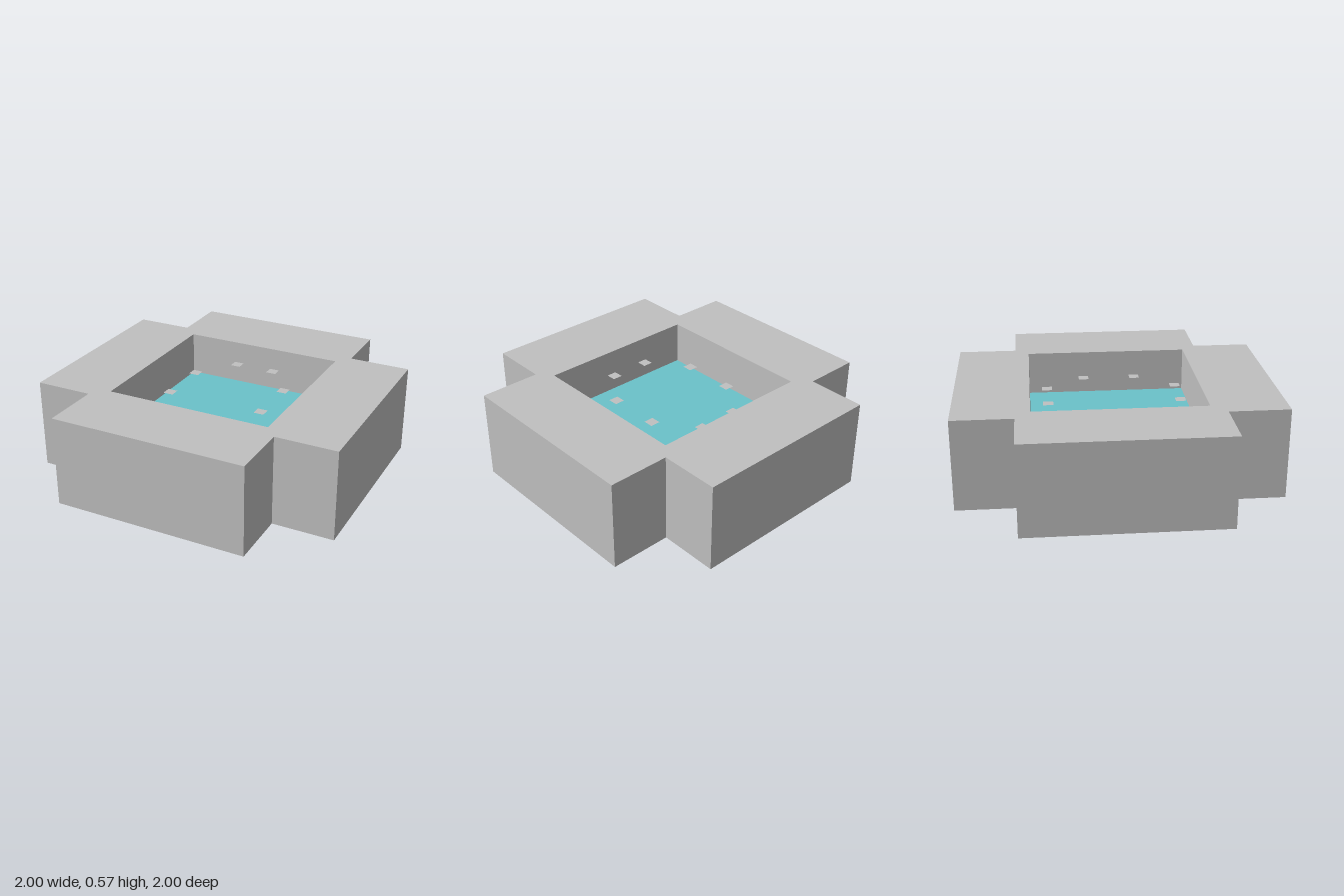
import * as THREE from 'three';

const HEIGHT = 0.575;
const HOLE = 0.532;

export function createModel() {
  const model = new THREE.Group();
  model.name = 'pool';
  const stone = new THREE.MeshStandardMaterial({ color: 0xc0c0c0, side: THREE.DoubleSide });
  stone.name = 'grey stone';
  const teal = new THREE.MeshStandardMaterial({ color: 0x6bc2ca });
  teal.name = 'teal water';

  const add = (name, geometry, material, x = 0, y = 0, z = 0) => {
    const mesh = new THREE.Mesh(geometry, material);
    mesh.name = name;
    mesh.position.set(x, y, z);
    model.add(mesh);
  };

  // Cross-shaped surround with a square opening right through it
  const l = -0.634, r = 0.611, d = 0.623;
  const outline = new THREE.Shape([
    [l, -1], [r, -1], [r, -d], [1, -d], [1, d], [r, d],
    [r, 1], [l, 1], [l, d], [-1, d], [-1, -d], [l, -d],
  ].map(([x, y]) => new THREE.Vector2(x, y)));
  outline.holes.push(new THREE.Path([
    [-HOLE, -HOLE], [-HOLE, HOLE], [HOLE, HOLE], [HOLE, -HOLE],
  ].map(([x, y]) => new THREE.Vector2(x, y))));
  const surround = new THREE.ExtrudeGeometry(outline, { depth: HEIGHT, bevelEnabled: false });
  surround.rotateX(-Math.PI / 2);
  add('surround', surround, stone);

  // Water slab halfway up the opening
  add('water', new THREE.BoxGeometry(HOLE * 2, 0.032, HOLE * 2), teal, 0, 0.274, 0);

  // Ring of eight small flat tiles hovering above the water
  const tile = new THREE.PlaneGeometry(0.065, 0.065).rotateX(-Math.PI / 2);
  for (const sx of [-1, 1]) {
    for (const sz of [-1, 1]) {
      add('outerTile', tile, stone, sx * 0.132, 0.467, sz * 0.419);
      add('sideTile', tile, stone, sx * 0.319, 0.467, sz * 0.17);
    }
  }
  return model;
}
